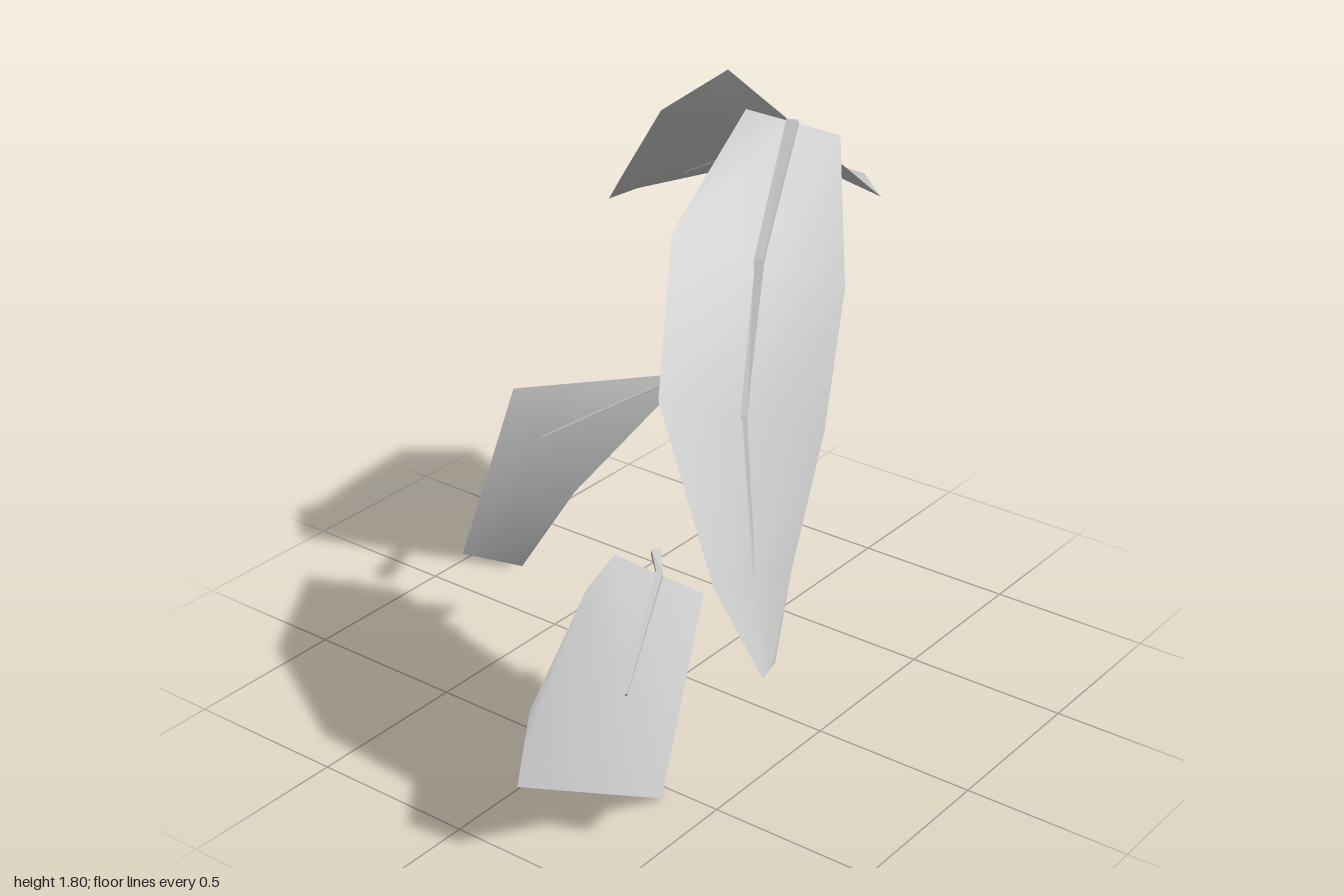
import * as THREE from 'three';

const material = new THREE.MeshStandardMaterial({ color: 0xcccccc, side: THREE.DoubleSide });
const stemMaterial = new THREE.MeshStandardMaterial({ color: 0xcccccc, flatShading: true });
const vec = (p) => new THREE.Vector3(...p);

function buildGeometry(points, index) {
  const geometry = new THREE.BufferGeometry().setFromPoints(points);
  geometry.setIndex(index);
  geometry.computeVertexNormals();
  return geometry;
}

// Leaf blade: each row runs edge - midrib - edge, joined along the leaf
function makeBlade(rows) {
  const points = [], index = [];
  rows.forEach(([a, b], r) => {
    const left = vec(a), right = vec(b);
    points.push(left, left.clone().lerp(right, 0.5), right);
    if (r === 0) return;
    for (let c = 0; c < 2; c++) {
      const i = (r - 1) * 3 + c;
      index.push(i, i + 3, i + 1, i + 1, i + 3, i + 4);
    }
  });
  const mesh = new THREE.Mesh(buildGeometry(points, index), material);
  mesh.name = 'blade';
  return mesh;
}

// Stem: four-sided tube along the path, tapering to the end
function makeStem(path, startRadius, endRadius) {
  const sides = 4, points = [], index = [], last = path.length - 1;
  const up = new THREE.Vector3(0, 1, 0);
  path.forEach((p, i) => {
    const tangent = path[Math.min(i + 1, last)].clone().sub(path[Math.max(i - 1, 0)]).normalize();
    const side = tangent.clone().cross(up).normalize();
    const normal = tangent.clone().cross(side);
    const radius = THREE.MathUtils.lerp(startRadius, endRadius, i / last);
    for (let k = 0; k < sides; k++) {
      const a = (k + 0.5) * 2 * Math.PI / sides;
      points.push(p.clone().addScaledVector(side, Math.cos(a) * radius)
        .addScaledVector(normal, Math.sin(a) * radius));
    }
    if (i === 0) return;
    for (let k = 0; k < sides; k++) {
      const a = (i - 1) * sides + k, b = (i - 1) * sides + (k + 1) % sides;
      index.push(a, b, a + sides, b, b + sides, a + sides);
    }
  });
  // End caps
  const e = last * sides;
  index.push(0, 2, 1, 0, 3, 2, e, e + 1, e + 2, e, e + 2, e + 3);
  const mesh = new THREE.Mesh(buildGeometry(points, index), stemMaterial);
  mesh.name = 'stem';
  return mesh;
}

// Leaf: the stem follows the midrib and stops one row before the tip
function makeLeaf({ name, start, rows, radius }) {
  const leaf = new THREE.Group();
  leaf.name = name;
  const path = rows.slice(0, -1).map(([a, b]) => vec(a).lerp(vec(b), 0.5));
  if (start) path.unshift(vec(start));
  leaf.add(makeBlade(rows), makeStem(path, radius, 0.007));
  return leaf;
}

// Rows go from the leaf base to its tip
const leaves = [
  {
    name: 'backLeaf', start: [0.235, 1.685, -0.24], radius: 0.024,
    rows: [
      [[-0.07, 1.805, -0.30], [0.33, 1.46, -0.49]],
      [[-0.37, 1.60, -0.38], [0.01, 1.34, -0.89]],
      [[-0.565, 1.33, -0.43], [-0.52, 1.215, -1.0]],
      [[-0.70, 1.20, -0.54], [-0.765, 1.155, -0.83]],
    ],
  },
  {
    name: 'upperFrontLeaf', radius: 0.023,
    rows: [
      [[0.135, 1.785, -0.105], [0.37, 1.73, -0.215]],
      [[0.20, 1.57, 0.31], [0.515, 1.38, -0.04]],
      [[0.40, 1.265, 0.625], [0.555, 1.02, 0.10]],
      [[0.665, 0.87, 0.745], [0.592, 0.695, 0.295]],
      [[0.765, 0.60, 0.665], [0.68, 0.53, 0.49]],
    ],
  },
  {
    name: 'middleLeaf', start: [0.115, 1.025, 0.0], radius: 0.02,
    rows: [
      [[-0.03, 0.96, -0.09], [0.15, 1.10, 0.17]],
      [[-0.525, 0.85, 0.13], [0.035, 0.85, 0.525]],
      [[-0.415, 0.495, 0.495], [-0.19, 0.53, 0.495]],
    ],
  },
  {
    name: 'lowerLeaf', start: [0.03, 0.505, 0.165], radius: 0.02,
    rows: [
      [[0.14, 0.37, 0.085], [0.02, 0.57, 0.34]],
      [[0.347, 0, 0.55], [0.18, 0.66, 0.655]],
      [[0.215, 0.225, 1.0], [0.24, 0.455, 0.97]],
    ],
  },
];

export function createModel() {
  const model = new THREE.Group();
  model.name = 'leafCluster';
  leaves.forEach((leaf) => model.add(makeLeaf(leaf)));
  return model;
}
